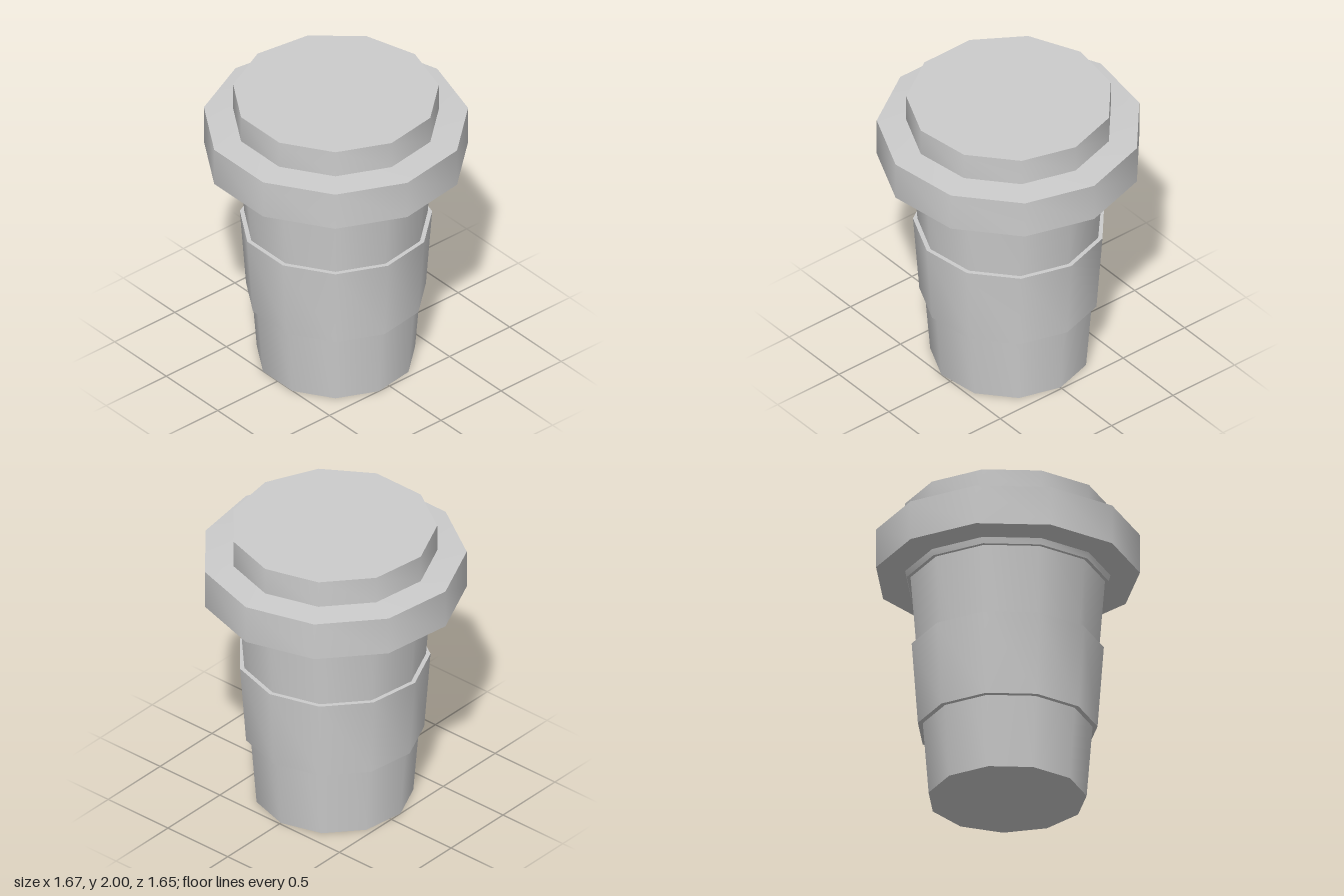
import * as THREE from 'three';
import { toCreasedNormals } from 'three/addons/utils/BufferGeometryUtils.js';

const SIDES = 11;

export function createModel() {
  const group = new THREE.Group();
  const material = new THREE.MeshStandardMaterial({ color: 0xcccccc });

  // Turn a [radius, height] profile (bottom to top) into an 11-sided part, one corner at the back
  function addPart(name, profile) {
    const points = profile.map(([r, y]) => new THREE.Vector2(r, y));
    const lathe = new THREE.LatheGeometry(points, SIDES, Math.PI);
    const mesh = new THREE.Mesh(toCreasedNormals(lathe, 0.7), material);
    mesh.name = name;
    mesh.position.z = 0.017; // centres the odd-sided outline
    group.add(mesh);
  }

  // Tapered cup body with a closed base
  addPart('cup', [[0, 0], [0.505, 0], [0.622, 1.5], [0, 1.5]]);

  // Band wrapped around the middle
  addPart('sleeve', [[0.535, 0.48], [0.574, 0.48], [0.614, 1.03], [0.58, 1.03]]);

  // Lid: lower skirt, wide rim and raised cap
  addPart('lid', [
    [0, 1.49], [0.645, 1.49], [0.656, 1.53],
    [0.843, 1.54], [0.843, 1.803],
    [0.657, 1.815], [0.657, 2], [0, 2],
  ]);

  return group;
}
